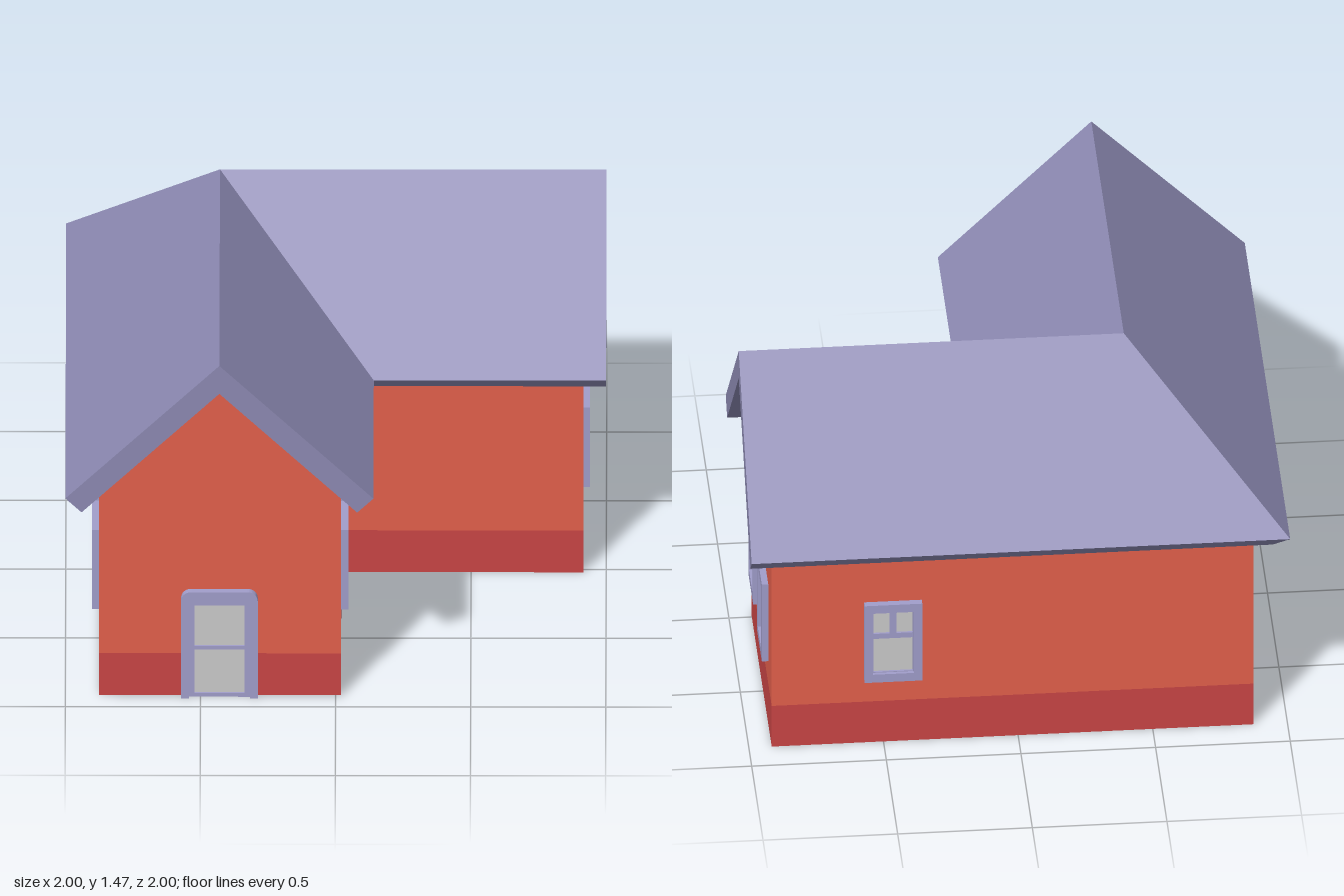
import * as THREE from 'three';

const paint = (color) => new THREE.MeshStandardMaterial({ color, flatShading: true });
const wallPaint = paint(0xe4604c);
const basePaint = paint(0xca4646);
const roofPaint = paint(0x8d8ab3);
const trimPaint = paint(0xa19ecb);
const glassPaint = paint(0xcccccc);

const RIDGE = -0.43;   // ridge line of both wings
const BACK = -0.875;   // outer long walls
const INNER = 0.02;    // walls inside the L
const END = 0.915;     // gable walls

function addMesh(parent, name, geometry, material) {
  const mesh = new THREE.Mesh(geometry, material);
  mesh.name = name;
  parent.add(mesh);
  return mesh;
}

// Sweeps a counter-clockwise profile along the L plan, mitred on the x = z diagonal.
function sweepL(profile, end) {
  const sections = [
    profile.map(([p, y]) => [p, y, end]),
    profile.map(([p, y]) => [p, y, p]),
    profile.map(([p, y]) => [end, y, p]),
  ];
  const positions = [];
  const tri = (a, b, c) => positions.push(...a, ...b, ...c);
  const n = profile.length;
  for (let s = 0; s < 2; s++) {
    const [near, far] = [sections[s], sections[s + 1]];
    for (let i = 0; i < n; i++) {
      const j = (i + 1) % n;
      tri(near[i], far[i], far[j]);
      tri(near[i], far[j], near[j]);
    }
  }
  const contour = profile.map(([p, y]) => new THREE.Vector2(p, y));
  for (const [a, b, c] of THREE.ShapeUtils.triangulateShape(contour, [])) {
    tri(sections[0][a], sections[0][b], sections[0][c]);
    tri(sections[2][c], sections[2][b], sections[2][a]);
  }
  const geometry = new THREE.BufferGeometry();
  geometry.setAttribute('position', new THREE.Float32BufferAttribute(positions, 3));
  geometry.computeVertexNormals();
  return geometry;
}

// Rectangle outline with optional rounded top corners.
function rect(x0, y0, x1, y1, r = 0, Type = THREE.Shape) {
  const s = new Type();
  s.moveTo(x0, y0);
  s.lineTo(x1, y0);
  s.lineTo(x1, y1 - r);
  if (r) s.absarc(x1 - r, y1 - r, r, 0, Math.PI / 2, false);
  else s.lineTo(x1, y1);
  s.lineTo(x0 + r, y1);
  if (r) s.absarc(x0 + r, y1 - r, r, Math.PI / 2, Math.PI, false);
  s.lineTo(x0, y0);
  return s;
}

function panel(outline, holes, depth) {
  outline.holes = holes.map((h) => rect(...h, 0, THREE.Path));
  return new THREE.ExtrudeGeometry(outline, { depth, bevelEnabled: false, curveSegments: 5 });
}

// Window facing +z with its back on the wall.
function createWindow() {
  const g = new THREE.Group();
  g.name = 'window';
  const [w, h, iw, ih] = [0.107, 0.17, 0.076, 0.135];
  addMesh(g, 'windowFrame', panel(rect(-w, -h, w, h), [[-iw, -ih, iw, ih]], 0.027), trimPaint);
  const bars = panel(rect(-iw, -ih, iw, ih), [
    [-iw + 0.003, -ih + 0.003, iw - 0.003, 0.015],
    [-iw + 0.003, 0.037, -0.013, ih - 0.003],
    [0.013, 0.037, iw - 0.003, ih - 0.003],
  ], 0.014);
  addMesh(g, 'windowBars', bars, trimPaint);
  addMesh(g, 'windowGlass', new THREE.PlaneGeometry(iw * 2, ih * 2), glassPaint).position.z = 0.006;
  return g;
}

// Door facing +z, standing on the ground.
function createDoor() {
  const g = new THREE.Group();
  g.name = 'door';
  const frame = rect(-0.142, 0, 0.142, 0.457, 0.038);
  // Opening runs to the ground, so the frame is one continuous arch outline
  const arch = new THREE.Shape([
    ...frame.getPoints(5).slice(1, -1),
    new THREE.Vector2(-0.142, 0),
    new THREE.Vector2(-0.113, 0),
    new THREE.Vector2(-0.113, 0.422),
    new THREE.Vector2(0.113, 0.422),
    new THREE.Vector2(0.113, 0),
  ]);
  addMesh(g, 'doorFrame', panel(arch, [], 0.026), trimPaint);
  const leaf = panel(rect(-0.113, 0, 0.113, 0.422), [
    [-0.092, 0.016, 0.092, 0.203],
    [-0.092, 0.219, 0.092, 0.392],
  ], 0.012);
  addMesh(g, 'doorLeaf', leaf, trimPaint);
  const glass = addMesh(g, 'doorGlass', new THREE.PlaneGeometry(0.2, 0.39), glassPaint);
  glass.position.set(0, 0.205, 0.006);
  return g;
}

export function createModel() {
  const house = new THREE.Group();
  house.name = 'house';

  // Plinth, walls with gables, and roof share the same L sweep
  addMesh(house, 'plinth', sweepL([[BACK, 0], [INNER, 0], [INNER, 0.18], [BACK, 0.18]], END), basePaint);
  addMesh(house, 'walls', sweepL([
    [BACK, 0.18], [INNER, 0.18], [INNER, 0.895], [RIDGE, 1.345], [BACK, 0.9],
  ], END), wallPaint);
  addMesh(house, 'roof', sweepL([
    [0.14, 0.895], [RIDGE, 1.465], [-1, 0.895], [-0.94, 0.835], [RIDGE, 1.345], [0.08, 0.835],
  ], 1), roofPaint);

  // Windows: x, z, turn
  const right = Math.PI / 2;
  const places = [
    [INNER, 0.657, right], [INNER, 0.272, right],
    [END - 0.003, -0.235, right], [END - 0.003, -0.618, right],
    [BACK, RIDGE, -right], [BACK, 0.272, -right], [BACK, 0.657, -right],
    [0.465, BACK, Math.PI],
  ];
  for (const [x, z, turn] of places) {
    const win = createWindow();
    win.position.set(x, 0.45, z);
    win.rotation.y = turn;
    house.add(win);
  }

  const door = createDoor();
  door.position.set(RIDGE, 0, END);
  house.add(door);
  return house;
}
